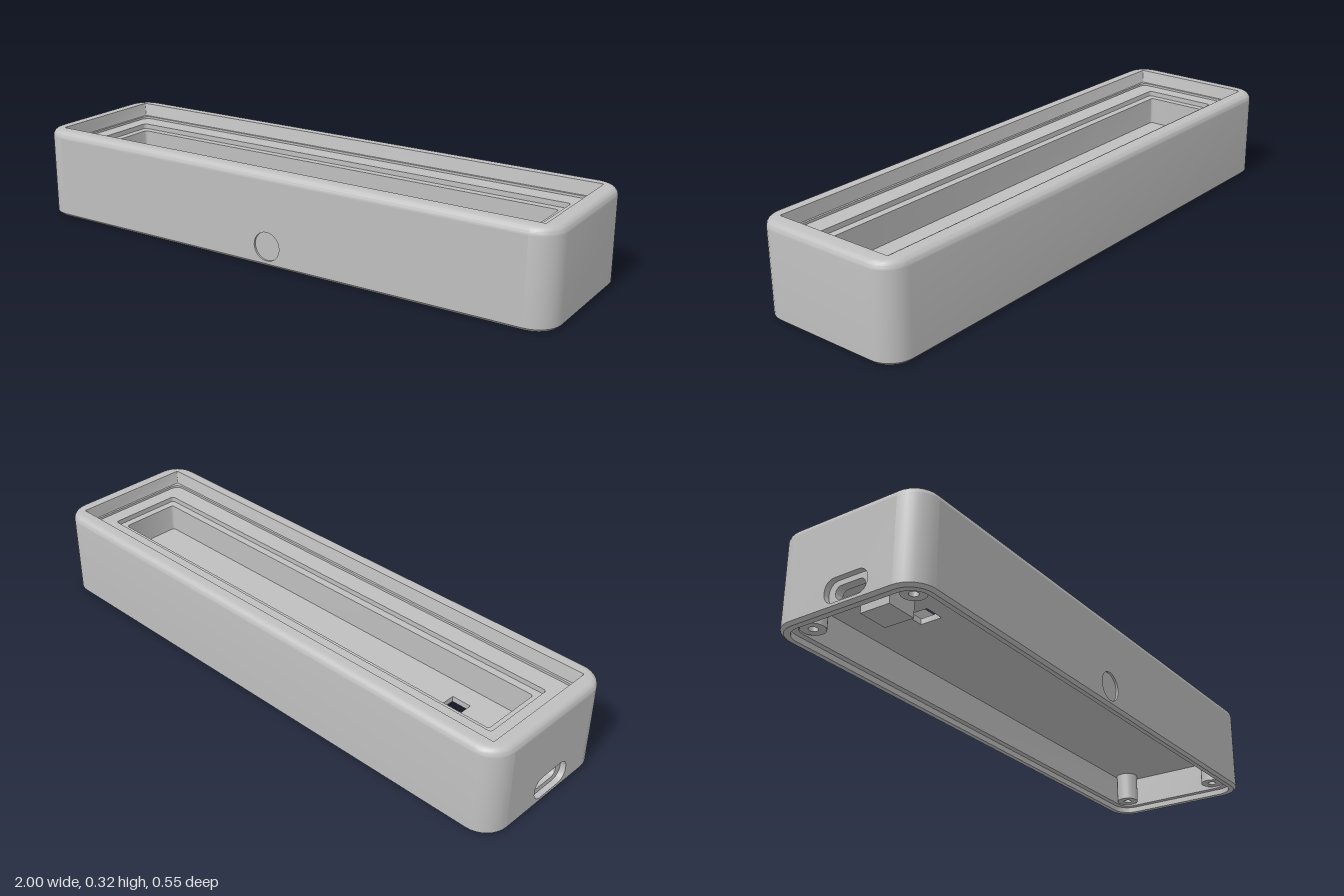
import * as THREE from 'three';
import { toCreasedNormals } from 'three/addons/utils/BufferGeometryUtils.js';

const N = 8; // segments per rounded corner

// Rounded rectangle outline centred on (cx, cy)
function outline(hx, hy, r, cx = 0, cy = 0) {
  const pts = [];
  for (let c = 0; c < 4; c++) {
    const sx = c === 0 || c === 3 ? 1 : -1, sy = c < 2 ? 1 : -1;
    for (let i = 0; i <= N; i++) {
      const a = (c + i / N) * Math.PI / 2;
      pts.push(new THREE.Vector2(
        cx + sx * (hx - r) + r * Math.cos(a),
        cy + sy * (hy - r) + r * Math.sin(a)));
    }
  }
  return pts;
}

function fromTriangles(pos) {
  const g = new THREE.BufferGeometry();
  g.setAttribute('position', new THREE.Float32BufferAttribute(pos, 3));
  g.computeVertexNormals();
  return toCreasedNormals(g, 0.5);
}

// Skin through rounded sections; a section's "open" sides (0 front, 1 port end) are left out above it
function loft(sections) {
  const rings = sections.map(s => outline(s.hx, s.hz, s.r).map(p => [p.x, s.y, p.y]));
  const pos = [], count = 4 * (N + 1);
  for (let j = 0; j < rings.length - 1; j++) {
    for (let i = 0; i < count; i++) {
      const side = i % (N + 1) === N ? Math.floor(i / (N + 1)) : -1;
      if (sections[j].open && (side === 0 || side === 1)) continue;
      const k = (i + 1) % count;
      const a = rings[j][i], b = rings[j][k], c = rings[j + 1][i], d = rings[j + 1][k];
      pos.push(...a, ...c, ...b, ...b, ...c, ...d);
    }
  }
  return fromTriangles(pos);
}

// Local (u, v, depth) frames for flat faces
const FRONT = new THREE.Matrix4();
const END = new THREE.Matrix4().makeRotationY(-Math.PI / 2);
const UP = new THREE.Matrix4().makeRotationX(-Math.PI / 2);

function panel(frame, depth, outer, holes = []) {
  const shape = new THREE.Shape(outer);
  holes.forEach(h => shape.holes.push(new THREE.Path(h)));
  return new THREE.ShapeGeometry(shape).translate(0, 0, depth).applyMatrix4(frame);
}

// Inward-facing wall of a cutout running from the outer depth to the inner depth
function cutWall(frame, pts, outer, inner) {
  const pos = [];
  pts.forEach((p, i) => {
    const q = pts[(i + 1) % pts.length];
    pos.push(p.x, p.y, outer, p.x, p.y, inner, q.x, q.y, outer,
      q.x, q.y, outer, p.x, p.y, inner, q.x, q.y, inner);
  });
  return fromTriangles(pos).applyMatrix4(frame);
}

function band(halfWidth, y0, y1) {
  return [[-halfWidth, y0], [halfWidth, y0], [halfWidth, y1], [-halfWidth, y1]]
    .map(p => new THREE.Vector2(...p));
}

export function createModel() {
  const model = new THREE.Group();
  model.name = 'enclosure';
  const grey = new THREE.MeshStandardMaterial({ color: 0xbfbfbf, side: THREE.DoubleSide });
  grey.name = 'grey plastic';
  const add = (name, geometry) => {
    const mesh = new THREE.Mesh(geometry, grey);
    mesh.name = name;
    model.add(mesh);
    return mesh;
  };

  const H = 0.322, F = 0.027, CEILING = 0.13, FLOOR = 0.15;
  const s = (hx, hz, r, y, open = false) => ({ hx, hz, r, y, open });

  // Shell profile: lower cavity, lid ledge, outer wall, rounded rim, stepped tray
  const sections = [
    s(0.95, 0.228, 0.045, CEILING, true),
    s(0.95, 0.228, 0.045, 0.02),
    s(0.97, 0.248, 0.06, 0.02),
    s(0.97, 0.248, 0.06, 0),
    s(0.99, 0.265, 0.075, 0),
    s(1, 0.275, 0.085, 0.01, true),
  ];
  for (let i = 0; i <= 6; i++) {
    const a = i / 6 * Math.PI / 2, inset = F * (1 - Math.cos(a));
    sections.push(s(1 - inset, 0.275 - inset, 0.085 - inset, H - F + F * Math.sin(a)));
  }
  sections.push(
    s(0.945, 0.222, 0.003, H),
    s(0.938, 0.215, 0.003, 0.276),
    s(0.93, 0.207, 0.03, 0.276),
    s(0.93, 0.207, 0.03, 0.268),
    s(0.875, 0.137, 0.01, 0.268),
    s(0.875, 0.137, 0.01, 0.25),
    s(0.848, 0.11, 0.01, 0.25),
    s(0.848, 0.11, 0.01, FLOOR));
  add('shell', loft(sections));

  // Tray floor and cavity ceiling with a square cable hole
  const cable = outline(0.035, 0.04, 0.001, -0.635, 0);
  add('trayFloor', panel(UP, FLOOR, outline(0.848, 0.11, 0.01), [cable]));
  add('cavityCeiling', panel(UP, CEILING, outline(0.95, 0.228, 0.045), [cable]));
  add('cableHole', cutWall(UP, cable, FLOOR, CEILING));

  // Front wall: shallow round button mark outside, thinned pocket inside
  const button = outline(0.05, 0.05, 0.05, 0, 0.07);
  const pocket = outline(0.145, 0.05, 0.001, 0, 0.075);
  add('frontWall', panel(FRONT, 0.275, band(0.915, 0.01, H - F), [button]));
  add('buttonEdge', cutWall(FRONT, button, 0.275, 0.268));
  add('buttonFace', panel(FRONT, 0.268, button));
  add('frontInnerWall', panel(FRONT, 0.228, band(0.905, 0.02, CEILING), [pocket]));
  add('pocketEdge', cutWall(FRONT, pocket, 0.228, 0.252));
  add('pocketFace', panel(FRONT, 0.252, pocket));

  // End wall: countersunk connector port
  const slot = outline(0.08, 0.04, 0.035, 0.02, 0.06);
  const port = outline(0.055, 0.022, 0.02, 0.02, 0.06);
  add('endWall', panel(END, 1, band(0.19, 0.01, H - F), [slot]));
  add('portRecess', cutWall(END, slot, 1, 0.98));
  add('portLedge', panel(END, 0.98, slot, [port]));
  add('portHole', cutWall(END, port, 0.98, 0.95));
  add('endInnerWall', panel(END, 0.95, band(0.183, 0.02, CEILING), [port]));

  // Block supporting the connector under the ceiling
  add('connectorBlock', new THREE.BoxGeometry(0.11, 0.07, 0.11)).position.set(-0.8, 0.095, 0);

  // Screw posts in the four corners
  const profile = [[0, 0.1], [0.015, 0.1], [0.015, 0.025], [0.04, 0.025], [0.04, CEILING]]
    .map(p => new THREE.Vector2(...p));
  const post = toCreasedNormals(new THREE.LatheGeometry(profile, 24), 0.5);
  for (const x of [-1, 1]) {
    for (const z of [-1, 1]) add('screwPost', post).position.set(x * 0.905, 0, z * 0.188);
  }
  return model;
}
